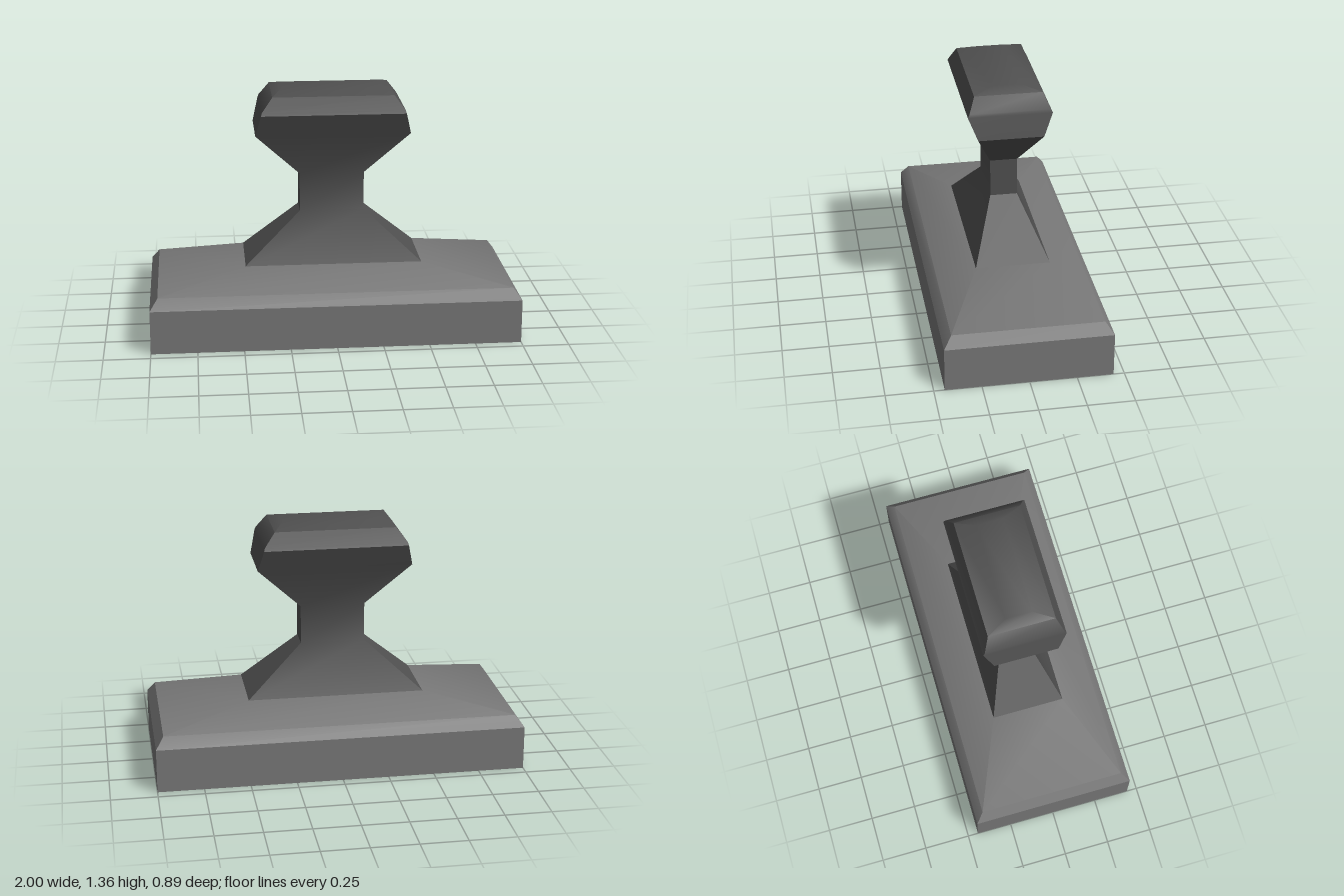
import * as THREE from 'three';
import { toCreasedNormals } from 'three/addons/utils/BufferGeometryUtils.js';

// Stack of rectangles [y, half width, half depth], skinned from bottom to top
function loft(levels, capBottom, capTop) {
  const positions = [];
  const index = [];
  for (const [y, x, z] of levels) {
    positions.push(-x, y, z, x, y, z, x, y, -z, -x, y, -z);
  }
  for (let i = 0; i < levels.length - 1; i++) {
    for (let k = 0; k < 4; k++) {
      const a = i * 4 + k, b = i * 4 + (k + 1) % 4;
      index.push(a, b, b + 4, a, b + 4, a + 4);
    }
  }
  if (capBottom) index.push(0, 2, 1, 0, 3, 2);
  if (capTop) {
    const t = (levels.length - 1) * 4;
    index.push(t, t + 1, t + 2, t, t + 2, t + 3);
  }
  const geometry = new THREE.BufferGeometry();
  geometry.setAttribute('position', new THREE.Float32BufferAttribute(positions, 3));
  geometry.setIndex(index);
  return toCreasedNormals(geometry, THREE.MathUtils.degToRad(32));
}

export function createModel() {
  const group = new THREE.Group();
  const baseGrey = new THREE.MeshStandardMaterial({ color: 0x777777 });
  baseGrey.name = 'base grey';
  const handleGrey = new THREE.MeshStandardMaterial({ color: 0x505050 });
  handleGrey.name = 'handle dark grey';

  // Block with chamfered rim and shallow sloping top
  const base = new THREE.Mesh(loft([
    [0, 1, 0.443],
    [0.24, 1, 0.443],
    [0.3, 0.957, 0.4],
    [0.395, 0.48, 0.2],
  ], true, true), baseGrey);
  base.name = 'base';

  // Flared foot, narrow neck and faceted grip
  const handle = new THREE.Mesh(loft([
    [0.395, 0.48, 0.2],
    [0.665, 0.175, 0.073],
    [0.875, 0.175, 0.073],
    [1.115, 0.417, 0.173],
    [1.235, 0.387, 0.222],
    [1.252, 0.382, 0.213],
    [1.327, 0.325, 0.18],
    [1.355, 0.268, 0.07],
  ], false, true), handleGrey);
  handle.name = 'handle';

  group.add(base, handle);
  return group;
}
